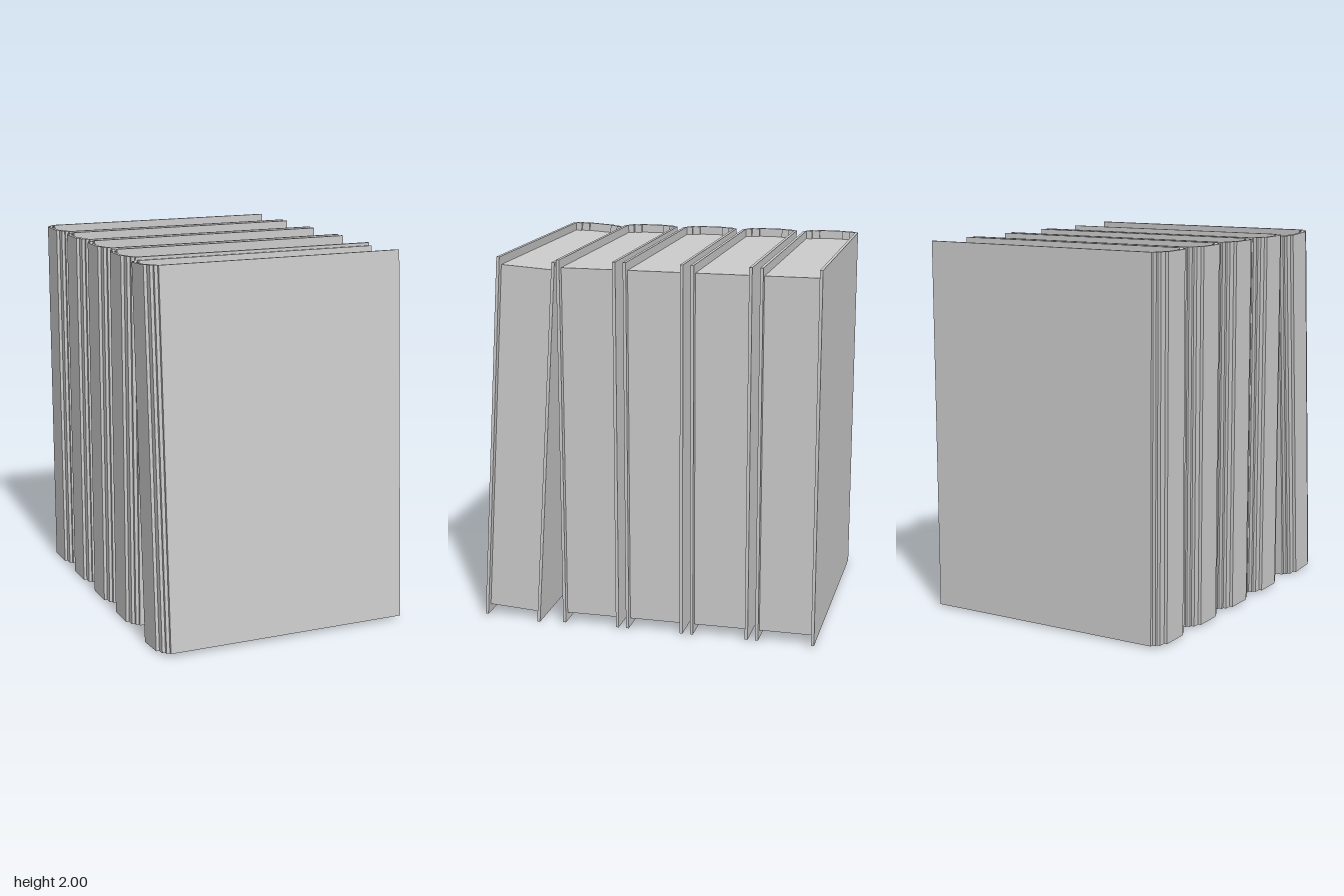
import * as THREE from 'three';

const HEIGHT = 1.986;
const PAGE_HEIGHT = 1.896;
const material = new THREE.MeshStandardMaterial({ color: 0xcccccc, flatShading: true });

// Box given by its x and z extents, centred on y
function slab(name, x0, x1, z0, z1, height) {
  const mesh = new THREE.Mesh(new THREE.BoxGeometry(x1 - x0, height, z1 - z0), material);
  mesh.position.set((x0 + x1) / 2, 0, (z0 + z1) / 2);
  mesh.name = name;
  return mesh;
}

// Page block whose inner edge follows the stepped spine
function pageBlock() {
  const half = [
    [0.66, 0.141], [-0.645, 0.141], [-0.645, 0.108],
    [-0.663, 0.108], [-0.663, 0.066], [-0.68, 0.066],
  ];
  const mirrored = half.map(([x, z]) => [x, -z]).reverse();
  const shape = new THREE.Shape([...half, ...mirrored].map(([x, z]) => new THREE.Vector2(x, z)));
  const geometry = new THREE.ExtrudeGeometry(shape, { depth: PAGE_HEIGHT, bevelEnabled: false });
  geometry.translate(0, 0, -PAGE_HEIGHT / 2);
  geometry.rotateX(-Math.PI / 2);
  const mesh = new THREE.Mesh(geometry, material);
  mesh.name = 'pages';
  return mesh;
}

function createBook() {
  const book = new THREE.Group();
  book.name = 'book';
  book.add(pageBlock());

  // Rounded spine built from overlapping stepped strips
  book.add(slab('spineCentre', -0.697, -0.68, -0.082, 0.082, HEIGHT));
  for (const s of [-1, 1]) {
    const strip = (name, x0, x1, a, b) =>
      book.add(slab(name, x0, x1, Math.min(s * a, s * b), Math.max(s * a, s * b), HEIGHT));
    strip('spineInnerStrip', -0.68, -0.663, 0.066, 0.124);
    strip('spineOuterStrip', -0.663, -0.645, 0.108, 0.141);
    strip('cover', -0.645, 0.695, 0.141, 0.157, HEIGHT);
  }
  return book;
}

export function createModel() {
  const model = new THREE.Group();
  model.name = 'bookRow';

  // Four upright books
  for (let i = 0; i < 4; i++) {
    const book = createBook();
    book.position.set(0, 1.004, -0.754 + i * 0.354);
    model.add(book);
  }

  // Front book leaning back against the row
  const leaning = createBook();
  leaning.name = 'leaningBook';
  leaning.position.set(0, 1.001, 0.692);
  leaning.rotation.x = -0.0625;
  model.add(leaning);
  return model;
}
